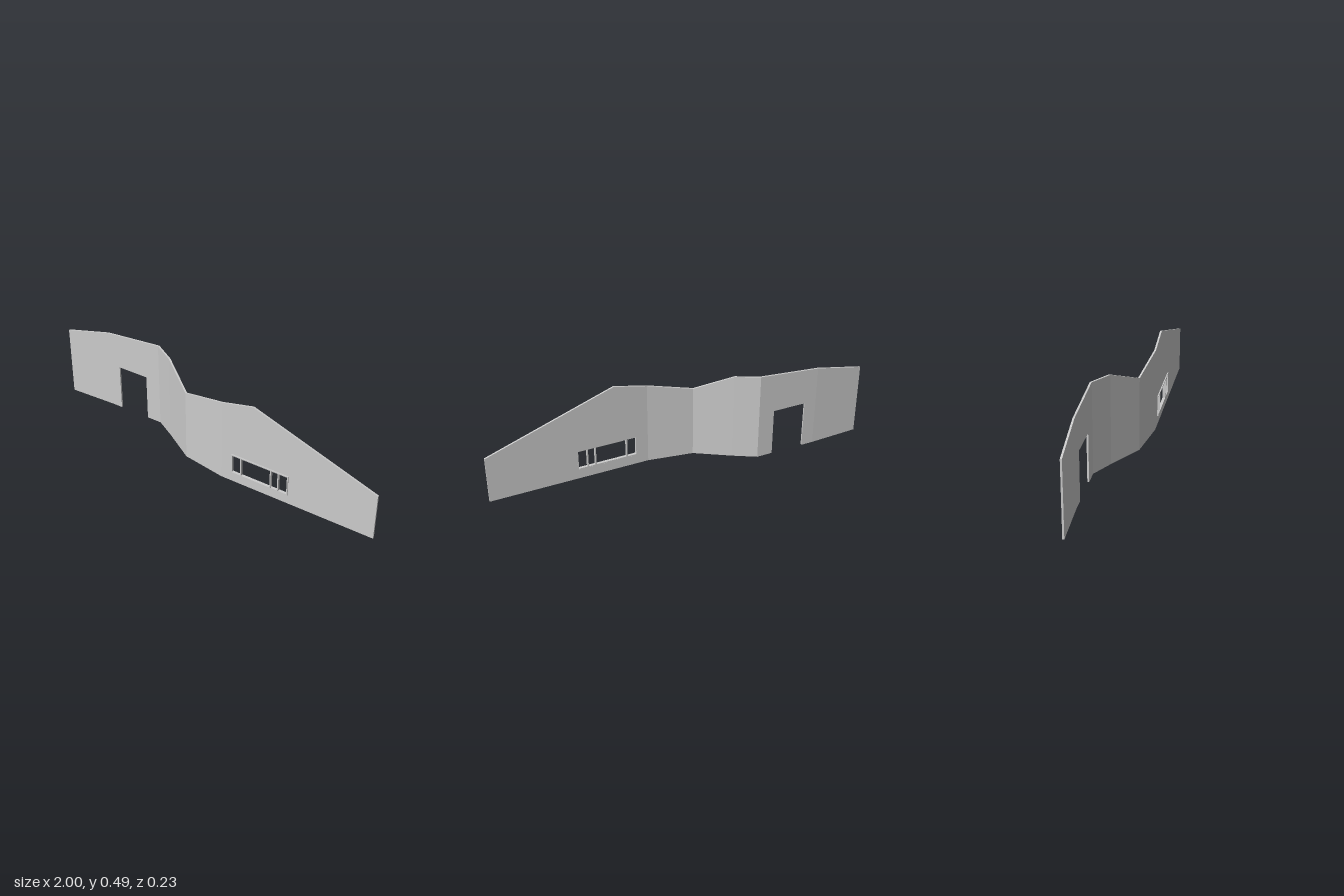
import * as THREE from 'three';
import { mergeGeometries } from 'three/addons/utils/BufferGeometryUtils.js';

// Plan of the folded wall: x, z of its centre line and the height of its top edge
const BENDS = [
  { x: -1, z: -0.097, top: 0.395 },
  { x: -0.73, z: -0.1085, top: 0.457 },
  { x: -0.395, z: -0.1085, top: 0.487 },
  { x: -0.278, z: -0.043, top: 0.482 },
  { x: -0.1, z: 0.066, top: 0.398 },
  { x: 0.142, z: 0.1045, top: 0.454 },
  { x: 1, z: 0.1045, top: 0.257 },
];
const PEAK = { x: 0.32, top: 0.494 };
const DOOR = { x0: -0.663, x1: -0.481, top: 0.263 };
const WINDOW = { x0: 0.203, x1: 0.531, y0: 0.053, y1: 0.168 };
const HALF = 0.0047;

// Mitre vector at a bend: offsets both neighbouring panels by one unit
function mitre(i) {
  const normal = (a, b) => new THREE.Vector2(a.z - b.z, b.x - a.x).normalize();
  const last = BENDS.length - 1;
  const n1 = normal(BENDS[Math.max(i - 1, 0)], BENDS[Math.max(i, 1)]);
  const n2 = normal(BENDS[Math.min(i, last - 1)], BENDS[Math.min(i + 1, last)]);
  const m = n1.clone().add(n2).normalize();
  return m.divideScalar(m.dot(n1));
}

// One flat panel between two bends, with its opening cut out
function panel(i) {
  const a = BENDS[i], b = BENDS[i + 1];
  const inside = (x) => x > a.x && x < b.x;
  const s = new THREE.Shape();
  s.moveTo(a.x, 0);
  if (inside(DOOR.x0)) {
    s.lineTo(DOOR.x0, 0);
    s.lineTo(DOOR.x0, DOOR.top);
    s.lineTo(DOOR.x1, DOOR.top);
    s.lineTo(DOOR.x1, 0);
  }
  s.lineTo(b.x, 0);
  s.lineTo(b.x, b.top);
  if (inside(PEAK.x)) s.lineTo(PEAK.x, PEAK.top);
  s.lineTo(a.x, a.top);
  s.closePath();
  if (inside(WINDOW.x0)) {
    const { x0, x1, y0, y1 } = WINDOW;
    s.holes.push(new THREE.Path([[x0, y0], [x0, y1], [x1, y1], [x1, y0]].map((p) => new THREE.Vector2(...p))));
  }
  const source = new THREE.ExtrudeGeometry(s, { depth: 1, bevelEnabled: false });
  const p = source.attributes.position;
  const ma = mitre(i), mb = mitre(i + 1);
  const out = [];
  const near = (v, x) => Math.abs(v - x) < 1e-5;
  for (let t = 0; t < p.count; t += 3) {
    const xs = [0, 1, 2].map((k) => p.getX(t + k));
    // leave out the hidden faces where two panels meet
    if (i > 0 && xs.every((x) => near(x, a.x))) continue;
    if (i < BENDS.length - 2 && xs.every((x) => near(x, b.x))) continue;
    xs.forEach((x, k) => {
      const f = (x - a.x) / (b.x - a.x);
      const m = ma.clone().lerp(mb, f);
      const d = (p.getZ(t + k) * 2 - 1) * HALF;
      out.push(x + m.x * d, p.getY(t + k), a.z + (b.z - a.z) * f + m.y * d);
    });
  }
  const g = new THREE.BufferGeometry();
  g.setAttribute('position', new THREE.Float32BufferAttribute(out, 3));
  g.computeVertexNormals();
  return g;
}

export function createModel() {
  const model = new THREE.Group();
  const material = new THREE.MeshStandardMaterial({ color: 0xcccccc, flatShading: true });

  // Folded wall
  const wall = new THREE.Mesh(mergeGeometries(BENDS.slice(1).map((_, i) => panel(i))), material);
  wall.name = 'foldedWall';
  model.add(wall);

  // Window frame, standing slightly proud of the wall's front
  const frame = new THREE.Group();
  frame.name = 'windowFrame';
  model.add(frame);
  const Z0 = 0.1, Z1 = 0.115, BAR = 0.006;
  const bar = (name, x0, x1, y0, y1) => {
    const mesh = new THREE.Mesh(new THREE.BoxGeometry(x1 - x0, y1 - y0, Z1 - Z0), material);
    mesh.position.set((x0 + x1) / 2, (y0 + y1) / 2, (Z0 + Z1) / 2);
    mesh.name = name;
    frame.add(mesh);
  };
  const { x0, x1, y0, y1 } = WINDOW;
  bar('sill', x0, x1, y0, y0 + BAR);
  bar('head', x0, x1, y1 - BAR, y1);
  bar('rightJamb', x0, x0 + BAR, y0 + BAR, y1 - BAR);
  bar('leftJamb', x1 - BAR, x1, y0 + BAR, y1 - BAR);
  for (const x of [0.26, 0.432, 0.475]) bar('mullion', x - BAR / 2, x + BAR / 2, y0 + BAR, y1 - BAR);

  return model;
}
